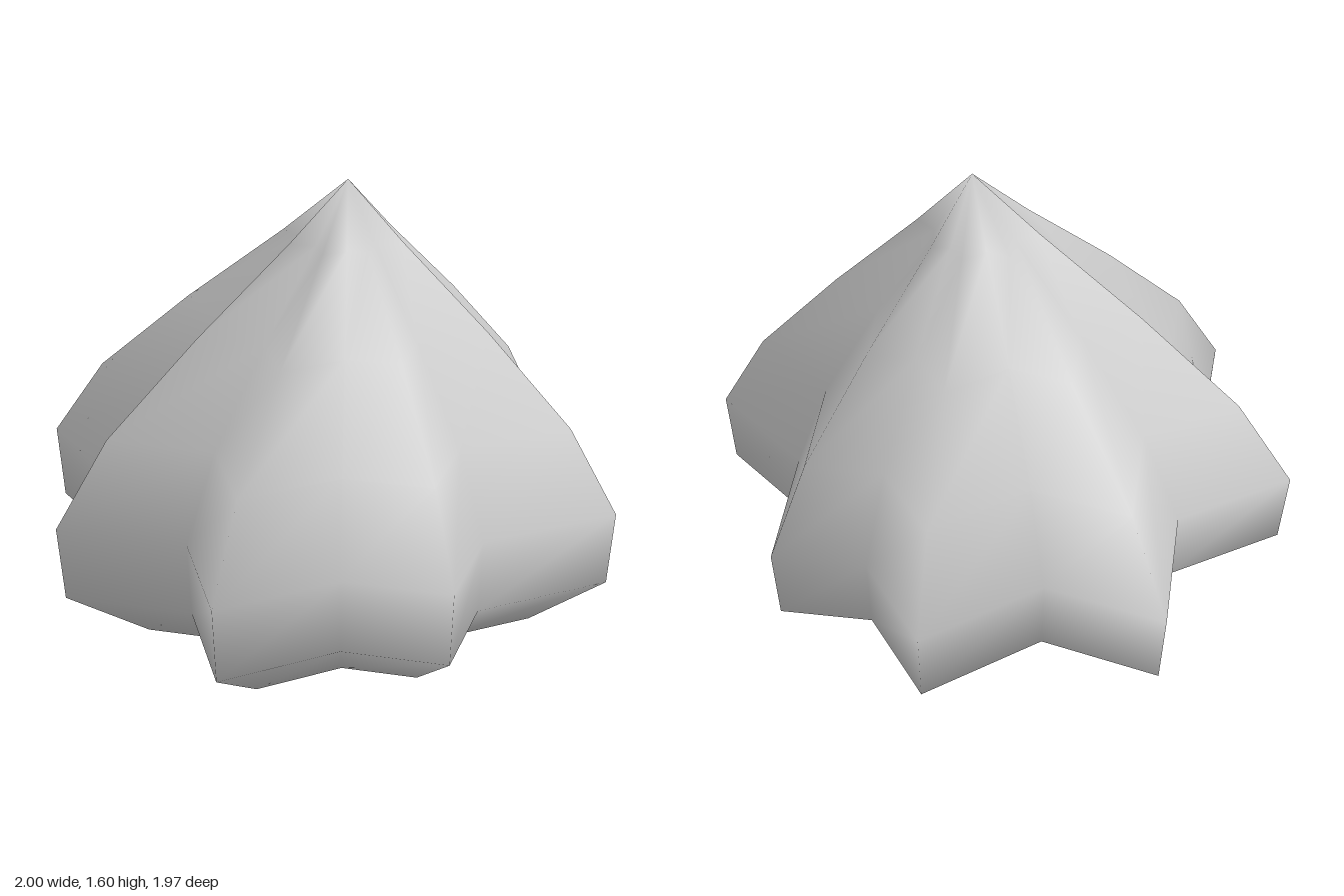
import * as THREE from 'three';

// Star outline (x, z) at the widest level, alternating tips and valleys
const STAR = [
  [-0.42, -0.96], [-0.05, -0.81], [0.235, -0.985], [0.525, -0.555],
  [0.995, -0.48], [0.8, 0], [0.96, 0.33], [0.645, 0.53],
  [0.49, 0.95], [0.11, 0.73], [-0.285, 0.98], [-0.49, 0.6],
  [-0.935, 0.495], [-0.74, 0.065], [-1, -0.375], [-0.585, -0.505],
];

// Profile: height and scale of the outline about the axis through the apex
const LEVELS = [[0, 0.71], [0.2, 0.983], [0.475, 1], [0.78, 0.82], [1.1, 0.513], [1.395, 0.2]];
const AXIS = [0.125, -0.02];
const APEX_Y = 1.6;

function starBody() {
  const n = STAR.length;
  const positions = [];
  const index = [];

  // Rings of the star, scaled towards the axis
  for (const [y, s] of LEVELS) {
    for (const [x, z] of STAR) {
      positions.push(AXIS[0] + (x - AXIS[0]) * s, y, AXIS[1] + (z - AXIS[1]) * s);
    }
  }
  const apex = LEVELS.length * n;
  const base = apex + 1;
  positions.push(AXIS[0], APEX_Y, AXIS[1], AXIS[0], 0, AXIS[1]);

  for (let i = 0; i < n; i++) {
    const j = (i + 1) % n;
    // Walls
    for (let r = 0; r < LEVELS.length - 1; r++) {
      const a = r * n + i, b = r * n + j;
      index.push(a, a + n, b, b, a + n, b + n);
    }
    // Point at the top and flat underside
    const top = (LEVELS.length - 1) * n;
    index.push(top + i, apex, top + j);
    index.push(i, j, base);
  }

  const geometry = new THREE.BufferGeometry();
  geometry.setAttribute('position', new THREE.Float32BufferAttribute(positions, 3));
  geometry.setIndex(index);
  geometry.computeVertexNormals();
  return geometry;
}

export function createModel() {
  const group = new THREE.Group();
  group.name = 'starDome';
  const body = new THREE.Mesh(starBody(), new THREE.MeshStandardMaterial({ color: 0xcccccc }));
  body.name = 'pointedStarBody';
  group.add(body);
  return group;
}
